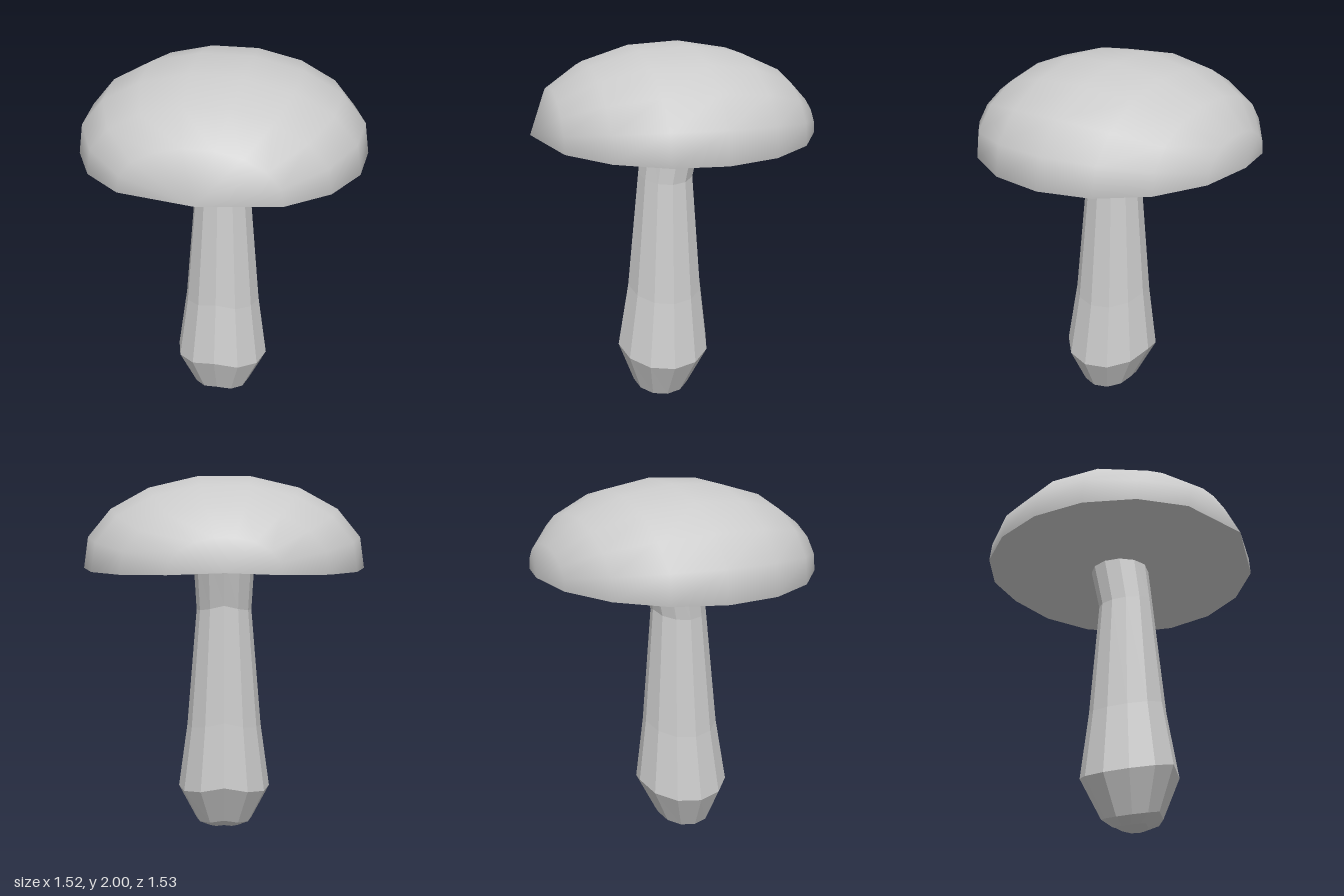
import * as THREE from 'three';

// Joins rings of points into a surface; rings run so that (along ring) x (to next ring) faces outward.
function loft(rings, closed) {
  const n = rings[0].length, index = [];
  for (let i = 0; i < rings.length - 1; i++) {
    for (let j = 0; j < (closed ? n : n - 1); j++) {
      const k = (j + 1) % n;
      const a = i * n + j, b = i * n + k, c = a + n, d = b + n;
      index.push(a, b, c, b, d, c);
    }
  }
  const geometry = new THREE.BufferGeometry().setFromPoints(rings.flat());
  geometry.setIndex(index);
  geometry.computeVertexNormals();
  return geometry;
}

function part(name, geometry, options = {}) {
  const mesh = new THREE.Mesh(geometry, new THREE.MeshStandardMaterial({ color: 0xcccccc, ...options }));
  mesh.name = name;
  return mesh;
}

export function createModel() {
  const group = new THREE.Group();
  group.name = 'mushroom';

  // Cap: upper part of a flattened 17-sided sphere whose poles lie at front and back
  const step = (2 * Math.PI) / 17, radius = 0.765, height = 0.455, centreY = 1.554;
  const capRings = [];
  for (let i = 0; i <= 8; i++) {
    const polar = i === 8 ? Math.PI : i * step;
    const ring = [];
    for (let j = 0; j < 10; j++) {
      const around = Math.PI / 2 + (j - 4.5) * step;
      ring.push(new THREE.Vector3(
        radius * Math.sin(polar) * Math.cos(around),
        centreY + height * Math.sin(polar) * Math.sin(around),
        -radius * Math.cos(polar)));
    }
    capRings.push(ring);
  }
  const capGeometry = loft(capRings, false);
  const pos = capGeometry.attributes.position, normal = new THREE.Vector3();
  for (let i = 0; i < pos.count; i++) {
    normal.set(pos.getX(i) / radius ** 2, (pos.getY(i) - centreY) / height ** 2, pos.getZ(i) / radius ** 2).normalize();
    capGeometry.attributes.normal.setXYZ(i, normal.x, normal.y, normal.z);
  }
  group.add(part('cap', capGeometry));

  // Underside: fan from the cap rim to the middle
  const rim = capRings.map((ring) => ring[0]);
  for (let i = 7; i > 0; i--) rim.push(capRings[i][9]);
  const middle = rim.map(() => new THREE.Vector3(0, 1.53, 0));
  group.add(part('capUnderside', loft([rim, middle], true), { flatShading: true, side: THREE.DoubleSide }));

  // Stem: [height at front and back, drop at the sides, radius, z offset]
  const sides = 12;
  const stemProfile = [
    [0.01, 0, 0, 0.06],
    [0.02, 0.02, 0.09, 0.06],
    [0.07, 0.04, 0.16, 0.07],
    [0.305, 0.07, 0.262, 0.055],
    [0.665, 0.06, 0.21, 0.045],
    [1.31, 0.04, 0.153, 0.037],
    [1.58, 0.02, 0.168, -0.01],
    [1.58, 0, 0, -0.01],
  ];
  const stemRings = stemProfile.map(([y, drop, r, z]) => Array.from({ length: sides }, (_, j) => {
    const a = (j / sides) * Math.PI * 2;
    return new THREE.Vector3(r * Math.sin(a), y - drop * Math.abs(Math.sin(a)), z + r * Math.cos(a));
  }));
  group.add(part('stem', loft(stemRings, true), { flatShading: true }));

  return group;
}
